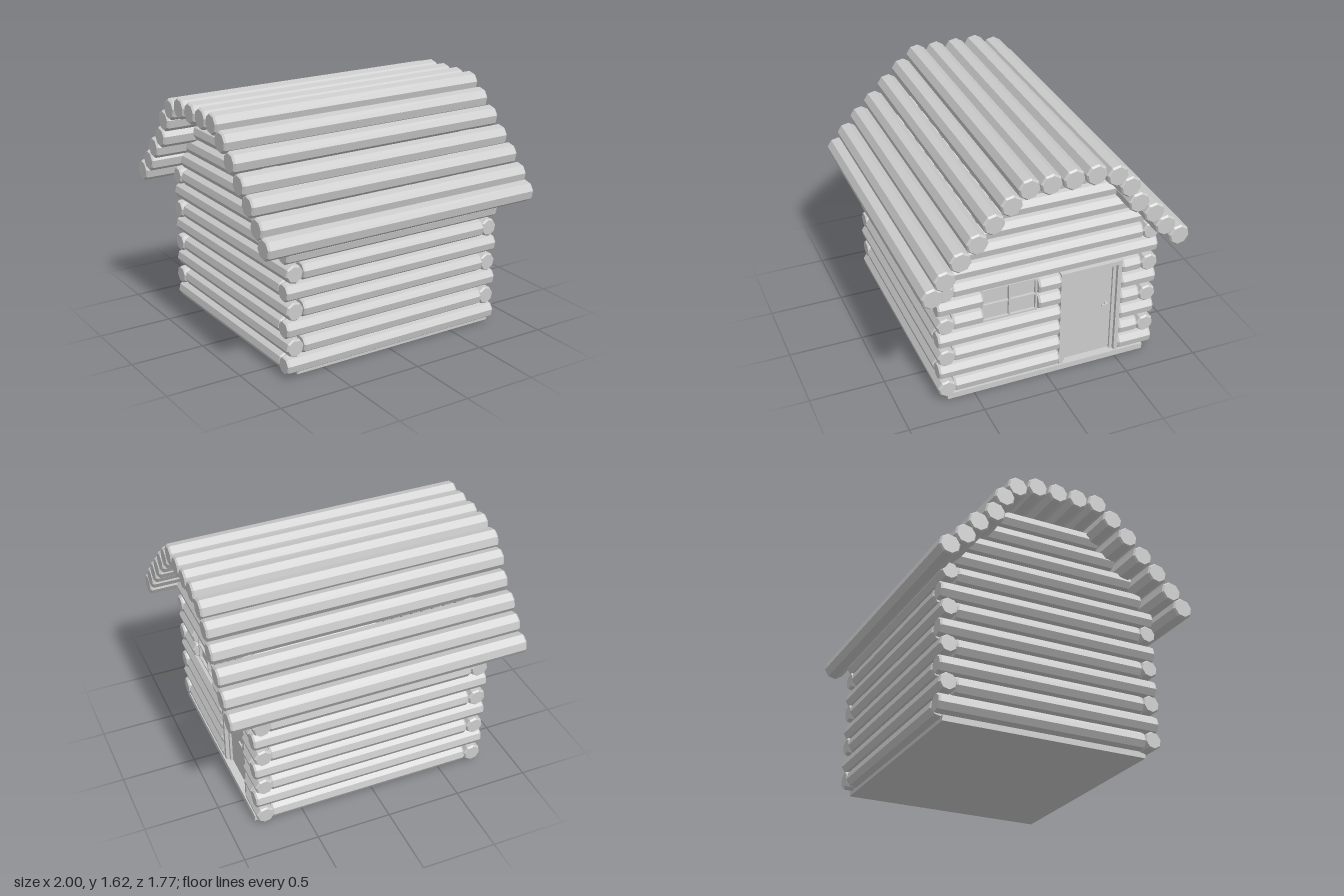
import * as THREE from 'three';

const wood = new THREE.MeshStandardMaterial({ color: 0xcccccc, flatShading: true });
const TILT = Math.PI / 18; // the octagonal logs are turned slightly about their axis
const WALL_R = 0.061, ROOF_R = 0.071;
const FRONT_Z = 0.68, BACK_Z = -0.715, RIGHT_X = -0.73, LEFT_X = 0.765;

// Eight-sided log with chamfered ends, running along 'x' or 'z' from a to b
function log(name, axis, r, a, b, u, y) {
  const h = (b - a) / 2, c = Math.min(0.012, h / 3);
  const profile = [[0, -h], [r * 0.86, -h], [r, -h + c], [r, h - c], [r * 0.86, h], [0, h]]
    .map(([x, t]) => new THREE.Vector2(x, t));
  const geo = new THREE.LatheGeometry(profile, 8);
  if (axis === 'x') geo.rotateZ(-Math.PI / 2).rotateX(-TILT);
  else geo.rotateX(Math.PI / 2).rotateZ(TILT);
  const mesh = new THREE.Mesh(geo, wood);
  mesh.name = name;
  const mid = (a + b) / 2;
  if (axis === 'x') mesh.position.set(mid, y, u);
  else mesh.position.set(u, y, mid);
  return mesh;
}

// Box given by its limits on each axis
function box(name, x0, x1, y0, y1, z0, z1) {
  const mesh = new THREE.Mesh(new THREE.BoxGeometry(x1 - x0, y1 - y0, z1 - z0), wood);
  mesh.name = name;
  mesh.position.set((x0 + x1) / 2, (y0 + y1) / 2, (z0 + z1) / 2);
  return mesh;
}

function group(name, parent) {
  const g = new THREE.Group();
  g.name = name;
  parent.add(g);
  return g;
}

// Remove the openings from a span and return the pieces left
function cut(span, openings) {
  let pieces = [span];
  for (const [lo, hi] of openings) {
    pieces = pieces.flatMap(([a, b]) => [[a, Math.min(b, lo)], [Math.max(a, hi), b]])
      .filter(([a, b]) => b - a > 0.02);
  }
  return pieces;
}

export function createModel() {
  const cabin = new THREE.Group();
  cabin.name = 'logCabin';
  cabin.add(box('floor', -0.69, 0.82, 0, 0.04, -0.705, 0.68));

  const rowY = (i) => 0.085 + 0.1217 * i;
  const door = [-0.527, -0.1], win = [0.055, 0.43];

  // Walls: long and short logs alternate and interlock at the corners
  const frontWall = group('frontWall', cabin), backWall = group('backWall', cabin);
  const doorWall = group('doorWall', cabin), plainWall = group('plainWall', cabin);
  const long = [-0.79, 0.825], short = [-0.67, 0.72];
  for (let i = 0; i < 8; i++) {
    const even = i % 2 === 0, y = rowY(i);
    frontWall.add(log('frontLog', 'x', WALL_R, ...(even ? long : short), FRONT_Z, y));
    backWall.add(log('backLog', 'x', WALL_R, ...(even ? short : long), BACK_Z, y));
    const span = even ? [-0.77, 0.63] : [-0.66, 0.73];
    plainWall.add(log('sideLog', 'z', WALL_R, ...span, RIGHT_X, y));
    const openings = [];
    if (i < 6) openings.push(door);
    if (i === 4 || i === 5) openings.push(win);
    for (const piece of cut(span, openings)) {
      doorWall.add(log('sideLog', 'z', WALL_R, ...piece, LEFT_X, y));
    }
  }

  // Gables: shrinking logs above both side walls
  [[-0.67, 0.65], [-0.61, 0.58], [-0.46, 0.455], [-0.385, 0.345]].forEach((span, k) => {
    plainWall.add(log('gableLog', 'z', WALL_R, ...span, RIGHT_X, rowY(8 + k)));
    doorWall.add(log('gableLog', 'z', WALL_R, ...span, LEFT_X, rowY(8 + k)));
  });

  // Roof: uneven arch of long logs, as [z, y]
  const roof = group('roof', cabin);
  const arch = [
    [0.82, 0.94], [0.74, 1.04], [0.64, 1.15], [0.535, 1.25], [0.43, 1.36], [0.32, 1.46],
    [0.21, 1.547], [0.07, 1.547], [-0.075, 1.547], [-0.22, 1.547], [-0.36, 1.51],
    [-0.45, 1.415], [-0.515, 1.29], [-0.625, 1.19], [-0.71, 1.08], [-0.812, 0.985],
  ];
  for (const [z, y] of arch) roof.add(log('roofLog', 'x', ROOF_R, -1, 1, z, y));

  // Door with stepped frame and handle
  const doorway = group('door', cabin);
  const [d0, d1] = door;
  doorway.add(
    box('doorPost', 0.71, 0.81, 0.04, 0.75, d0, d0 + 0.028),
    box('doorPost', 0.71, 0.81, 0.04, 0.75, d1 - 0.028, d1),
    box('doorLintel', 0.71, 0.81, 0.722, 0.75, d0 + 0.028, d1 - 0.028),
    box('doorStop', 0.72, 0.785, 0.04, 0.722, d0 + 0.028, d0 + 0.05),
    box('doorStop', 0.72, 0.785, 0.04, 0.722, d1 - 0.05, d1 - 0.028),
    box('doorStop', 0.72, 0.785, 0.7, 0.722, d0 + 0.05, d1 - 0.05),
    box('doorPanel', 0.745, 0.77, 0.045, 0.7, d0 + 0.05, d1 - 0.05),
    box('handleStem', 0.77, 0.8, 0.415, 0.428, -0.443, -0.43),
    box('handleGrip', 0.795, 0.805, 0.414, 0.429, -0.446, -0.4),
  );

  // Four-pane window
  const frame = group('window', cabin);
  const [w0, w1] = win, wm = (w0 + w1) / 2, y0 = 0.51, y1 = 0.75, ym = 0.632, t = 0.012;
  frame.add(box('windowPane', 0.755, 0.765, y0, y1, w0, w1));
  for (const z of [w0, wm - t / 2, w1 - t]) frame.add(box('windowUpright', 0.735, 0.785, y0, y1, z, z + t));
  for (const y of [y0, ym - t / 2, y1 - t]) frame.add(box('windowRail', 0.737, 0.783, y, y + t, w0, w1));

  return cabin;
}
